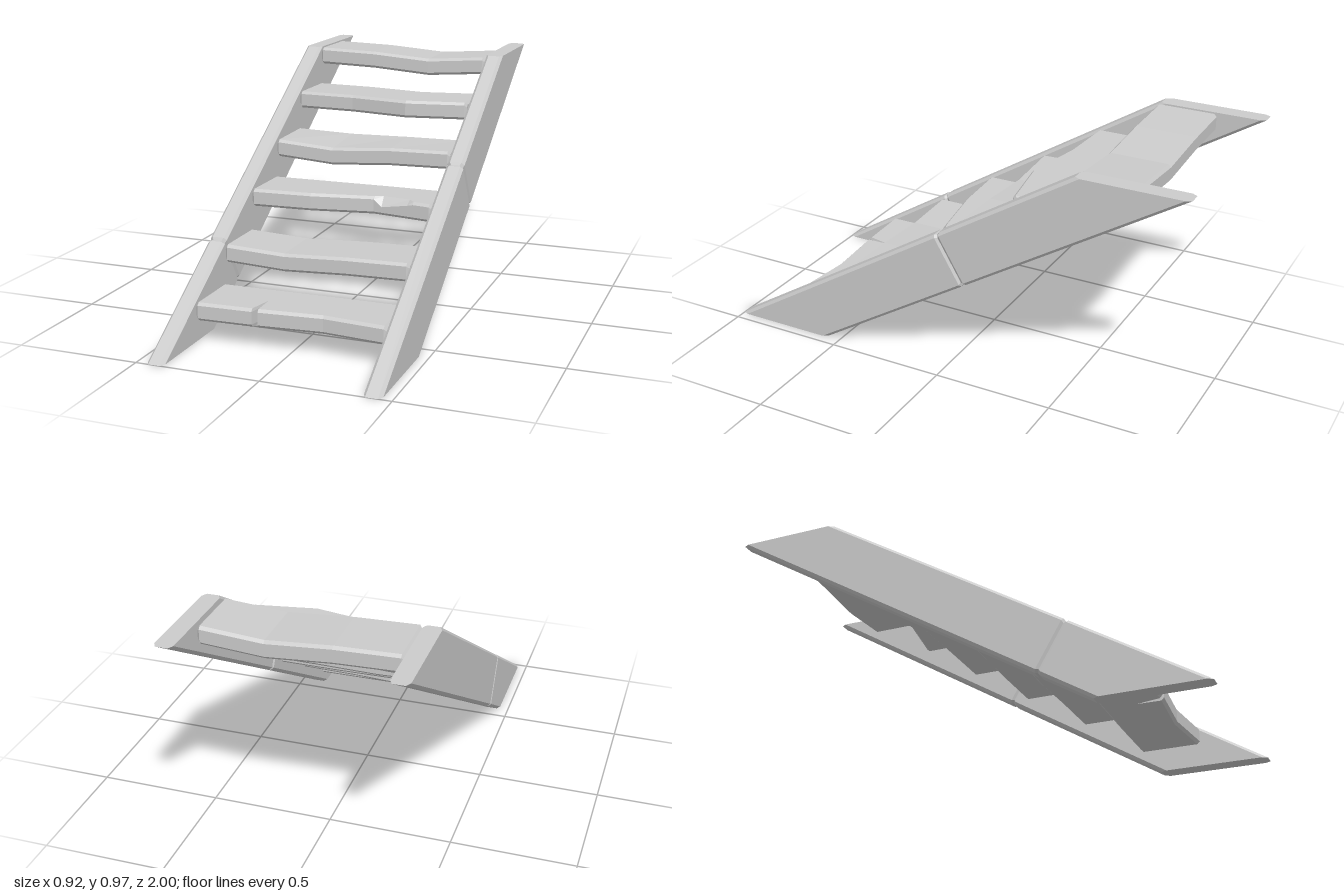
import * as THREE from 'three';

const material = new THREE.MeshStandardMaterial({ color: 0xcccccc, flatShading: true });

// Skin a list of equal-length closed sections ([x, y, z] points) and cap both ends.
function loft(name, sections) {
  const n = sections[0].length, last = sections.length - 1, index = [];
  for (let i = 0; i < last; i++) {
    for (let j = 0; j < n; j++) {
      const a = i * n + j, b = a + n, k = (j + 1) % n;
      const d = i * n + k, c = d + n;
      index.push(a, b, c, a, c, d);
    }
  }
  for (let j = 1; j < n - 1; j++) {
    index.push(0, j, j + 1, last * n, last * n + j + 1, last * n + j);
  }
  const geo = new THREE.BufferGeometry();
  geo.setAttribute('position', new THREE.Float32BufferAttribute(sections.flat(2), 3));
  geo.setIndex(index);
  const flat = geo.toNonIndexed();
  flat.computeVertexNormals();
  const mesh = new THREE.Mesh(flat, material);
  mesh.name = name;
  return mesh;
}

// Sloping side board with level-cut ends and one thin crack square to the slope.
function stringer(name, x, crack) {
  const section = (sTop, sBottom, inset = 0) => {
    const h = 0.036 - inset, c = 0.012, e = inset / 0.23, ct = 0.05;
    const outline = [
      [h, e + ct], [h, 1 - e - ct], [h - c, 1 - e], [c - h, 1 - e],
      [-h, 1 - e - ct], [-h, e + ct], [c - h, e], [h - c, e],
    ];
    return outline.map(([dx, t]) => {
      const s = sBottom + (sTop - sBottom) * t;
      return [x + dx, 0.97 * s, 0.56 + 0.44 * t - 1.56 * s];
    });
  };
  const skew = 0.206, w = 0.006;
  return loft(name, [
    section(0, 0),
    section(crack - w, crack - w - skew),
    section(crack, crack - skew, 0.006),
    section(crack + w, crack + w - skew),
    section(1, 1),
  ]);
}

// Value at x of a line through four evenly spaced control values.
const HALF = 0.385;
function along(values, x) {
  const u = ((x + HALF) / (2 * HALF)) * 3;
  const i = Math.min(2, Math.max(0, Math.floor(u)));
  return values[i] + (values[i + 1] - values[i]) * (u - i);
}

// Bevelled, warped plank. cuts: [x, depth of notch, chip down, chip back].
function tread({ front, back, top, topBack = top, cuts = [] }, i) {
  const stations = [-HALF, -HALF + 0.01, -HALF / 3, HALF / 3, HALF - 0.01, HALF]
    .map((x) => [x, 0, 0, 0]).concat(cuts).sort((a, b) => a[0] - b[0]);
  const sections = stations.map(([x, notch, down, chip]) => {
    const inset = Math.abs(x) === HALF ? 0.01 : 0, c = 0.011;
    const f = along(front, x) - notch - inset, b = along(back, x) + inset;
    const hf = along(top, x) - inset, hb = along(topBack, x) - inset;
    const thick = 0.073 - 2 * inset;
    return [
      [hf - thick + c, f], [hf - c - down, f], [hf, f - c - chip], [hb, b + c],
      [hb - c, b], [hb - thick + c, b], [hb - thick, b + c], [hf - thick, f - c],
    ].map(([y, z]) => [x, y, z]);
  });
  return loft('tread' + (i + 1), sections);
}

const level = (v) => [v, v, v, v];

const treads = [
  // split front edge
  { front: [0.742, 0.732, 0.71, 0.735], back: [0.492, 0.488, 0.484, 0.484], top: level(0.162),
    cuts: [[-0.153, 0, 0, 0], [-0.131, 0.1, 0, 0], [-0.112, 0, 0, 0]] },
  { front: level(0.48), back: level(0.233), top: [0.319, 0.307, 0.319, 0.324] },
  // chipped front edge
  { front: [0.222, 0.207, 0.163, 0.207], back: [-0.024, -0.028, -0.032, -0.03], top: level(0.485),
    cuts: [[0.13, 0, 0, 0], [0.165, 0, 0.028, 0.018], [0.28, 0, 0.006, 0.024], [0.305, 0, 0, 0]] },
  { front: level(-0.037), back: level(-0.283), top: [0.642, 0.624, 0.642, 0.647],
    topBack: [0.647, 0.64, 0.645, 0.647] },
  { front: [-0.294, -0.281, -0.234, -0.278], back: [-0.542, -0.526, -0.48, -0.524], top: level(0.808) },
  { front: level(-0.55), back: level(-0.803), top: [0.969, 0.962, 0.943, 0.962] },
];

export function createModel() {
  const group = new THREE.Group();
  group.name = 'woodenStairs';
  group.add(stringer('leftStringer', 0.425, 0.63), stringer('rightStringer', -0.425, 0.343));
  treads.forEach((t, i) => group.add(tread(t, i)));
  return group;
}
